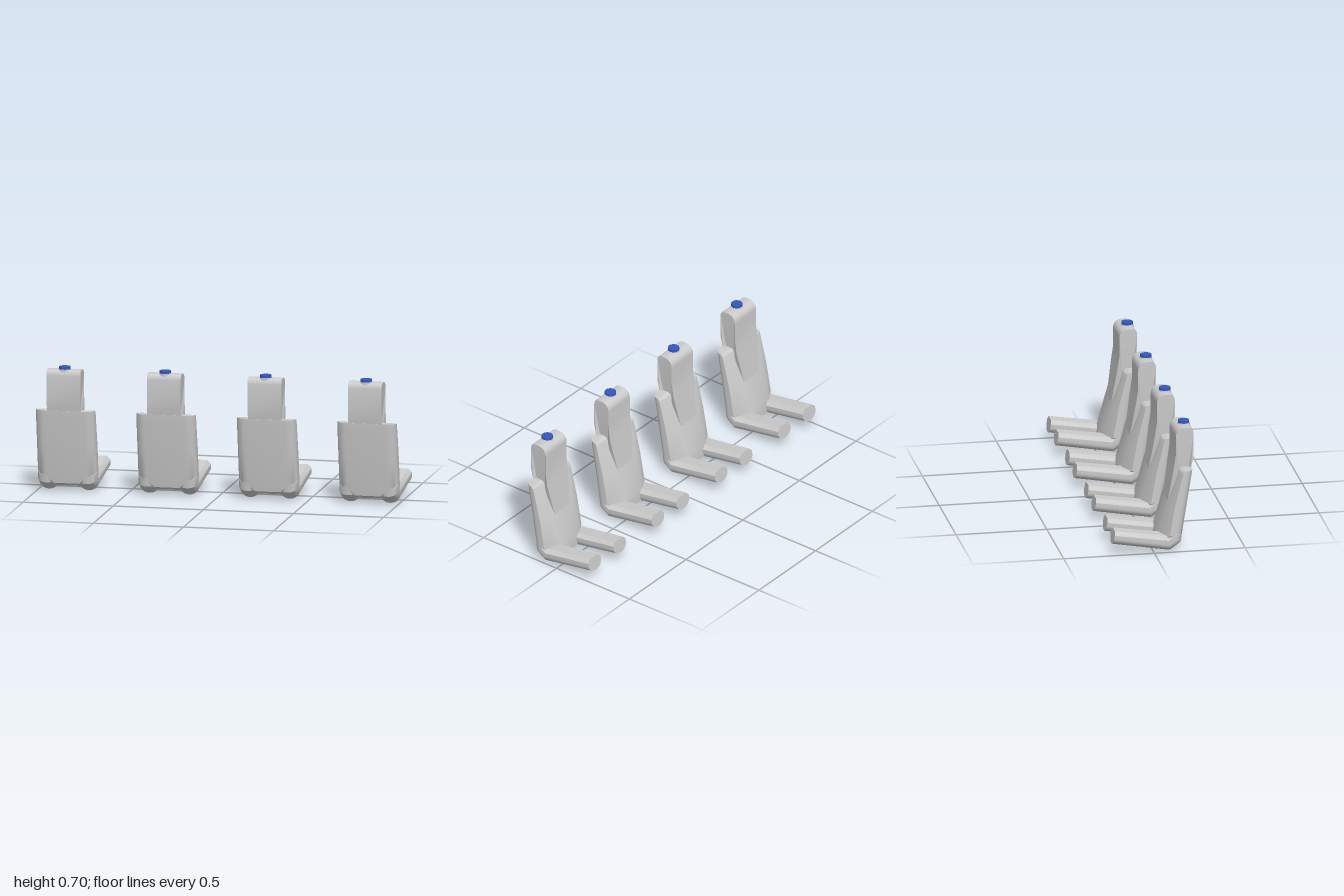
import * as THREE from 'three';
import { toCreasedNormals } from 'three/addons/utils/BufferGeometryUtils.js';

const grey = new THREE.MeshStandardMaterial({ color: 0xcccccc });
const blue = new THREE.MeshStandardMaterial({ color: 0x3558c0 });

// Skin a list of closed rings (counter-clockwise about the direction of travel), with end caps.
function loft(rings, crease = 0.6) {
  const n = rings[0].length, pos = [], idx = [];
  rings.forEach(r => r.forEach(p => pos.push(...p)));
  for (let k = 0; k < rings.length - 1; k++) {
    for (let i = 0; i < n; i++) {
      const a = k * n + i, b = k * n + (i + 1) % n;
      idx.push(a, b, b + n, a, b + n, a + n);
    }
  }
  [0, rings.length - 1].forEach((k, end) => {
    const c = pos.length / 3;
    pos.push(...[0, 1, 2].map(j => rings[k].reduce((s, p) => s + p[j], 0) / n));
    for (let i = 0; i < n; i++) {
      const a = k * n + i, b = k * n + (i + 1) % n;
      if (end) idx.push(c, a, b); else idx.push(c, b, a);
    }
  });
  const g = new THREE.BufferGeometry();
  g.setAttribute('position', new THREE.Float32BufferAttribute(pos, 3));
  g.setIndex(idx);
  return toCreasedNormals(g, crease);
}

// Horizontal body section: rounded front corners, chamfered back.
function bodyRing(y, front, side, rear, half, rearHalf) {
  const right = [];
  for (let i = 0; i <= 8; i++) {
    const a = i / 8 * Math.PI / 2;
    right.push([half - 0.054 + 0.054 * Math.sin(a), y, front - 0.045 * (1 - Math.cos(a))]);
  }
  right.push([half, y, side], [rearHalf, y, rear]);
  return [...right, ...right.map(([x, yy, z]) => [-x, yy, z]).reverse()];
}

function bodyGeometry() {
  return loft([
    bodyRing(0.03, 0.132, 0.075, 0.03, 0.11, 0.08),
    bodyRing(0.045, 0.152, 0.075, 0.03, 0.115, 0.08),
    bodyRing(0.09, 0.16, 0.085, 0.038, 0.164, 0.085),
    bodyRing(0.26, 0.187, 0.115, 0.09, 0.164, 0.1),
    bodyRing(0.43, 0.215, 0.157, 0.148, 0.164, 0.13),
    bodyRing(0.447, 0.217, 0.163, 0.155, 0.164, 0.13),
    bodyRing(0.456, 0.218, 0.172, 0.17, 0.164, 0.13),
  ]);
}

// Leg stations: [outer z, outer y, inner z, inner y]
function legGeometry() {
  const section = [];
  for (let i = 0; i <= 14; i++) {
    const a = Math.PI * (1 + i / 14);
    section.push([0.054 * Math.cos(a), 0.5 + 0.5 * Math.sin(a)]);
  }
  section.push([0.054, 0.75], [0.034, 1], [-0.034, 1], [-0.054, 0.75]);
  const stations = [
    [0.16, 0.09, 0.092, 0.13],
    [0.153, 0.045, 0.084, 0.095],
    [0.09, 0.0, 0.075, 0.088],
    [-0.228, 0.055, -0.215, 0.133],
  ];
  return loft(stations.map(([oz, oy, iz, iy]) =>
    section.map(([u, v]) => [-u, oy + (iy - oy) * v, oz + (iz - oz) * v])));
}

// Upper block: side profile extruded across x, narrowing towards its foot.
function spineGeometry() {
  const s = new THREE.Shape();
  s.moveTo(0.17, 0.17);
  s.lineTo(0.214, 0.45);
  s.lineTo(0.229, 0.515);
  s.lineTo(0.229, 0.65);
  s.quadraticCurveTo(0.229, 0.682, 0.2, 0.683);
  s.lineTo(0.18, 0.683);
  s.bezierCurveTo(0.15, 0.683, 0.131, 0.665, 0.131, 0.635);
  s.lineTo(0.131, 0.53);
  s.lineTo(0.119, 0.45);
  s.lineTo(0.077, 0.17);
  const g = new THREE.ExtrudeGeometry(s, { depth: 2, bevelEnabled: false, curveSegments: 8 });
  const p = g.attributes.position;
  for (let i = 0; i < p.count; i++) {
    const z = p.getX(i), y = p.getY(i);
    const t = THREE.MathUtils.clamp((y - 0.17) / 0.28, 0, 1);
    p.setXYZ(i, (1 - p.getZ(i)) * THREE.MathUtils.lerp(0.05, 0.094, t), y, z);
  }
  g.deleteAttribute('normal');
  g.deleteAttribute('uv');
  return toCreasedNormals(g, 0.5);
}

export function createModel() {
  const root = new THREE.Group();
  root.name = 'seatRow';
  const body = bodyGeometry(), leg = legGeometry(), spine = spineGeometry();
  const collar = new THREE.CylinderGeometry(0.034, 0.034, 0.02, 20);
  const cap = new THREE.CylinderGeometry(0.031, 0.031, 0.015, 20);

  [-0.836, -0.279, 0.279, 0.836].forEach((x, i) => {
    const unit = new THREE.Group();
    unit.name = `unit${i + 1}`;
    unit.position.x = x;
    const add = (name, geometry, material, px = 0, py = 0, pz = 0) => {
      const m = new THREE.Mesh(geometry, material);
      m.name = name;
      m.position.set(px, py, pz);
      unit.add(m);
    };
    add('body', body, grey);
    add('upperBlock', spine, grey);
    add('leftLeg', leg, grey, 0.11);
    add('rightLeg', leg, grey, -0.11);
    add('collar', collar, grey, 0, 0.675, 0.191);
    add('cap', cap, blue, 0, 0.691, 0.191);
    root.add(unit);
  });
  return root;
}
